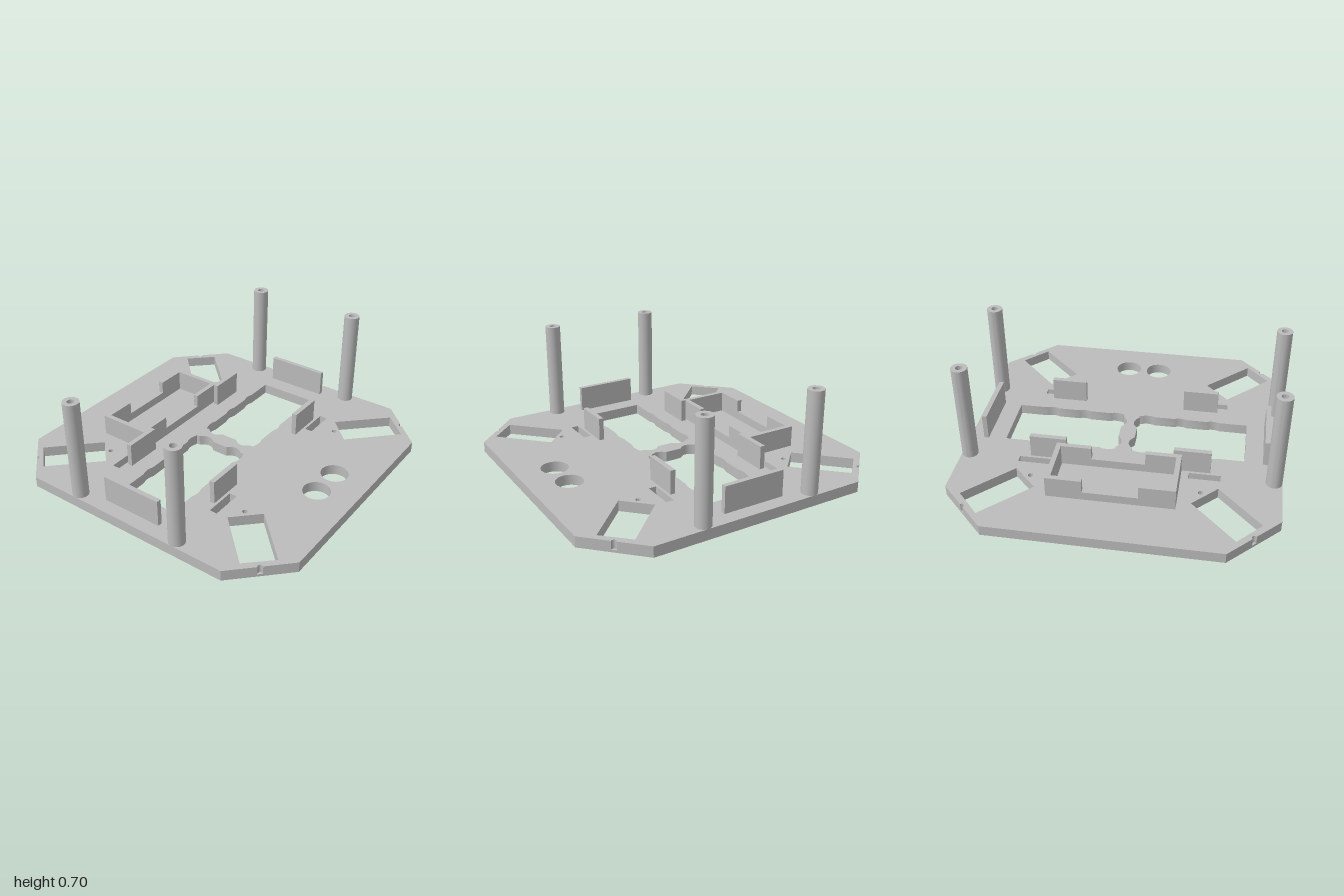
import * as THREE from 'three';
import { toCreasedNormals } from 'three/addons/utils/BufferGeometryUtils.js';

const TOP = 0.067;   // upper face of the deck
const FLOOR = 0.015; // bottom of the blind holes
const SIGNS = [-1, 1];

export function createModel() {
  const group = new THREE.Group();
  const grey = new THREE.MeshStandardMaterial({ color: 0xbcbcbc });
  grey.name = 'grey plastic';

  const add = (name, geometry) => {
    const mesh = new THREE.Mesh(geometry, grey);
    mesh.name = name;
    group.add(mesh);
    return mesh;
  };
  const path = (pts) => new THREE.Path(pts.map(([x, z]) => new THREE.Vector2(x, z)));
  const circle = (x, z, r) => new THREE.Path().absarc(x, z, r, 0, Math.PI * 2);

  // Extrudes a plan outline (x, z) between two heights
  const slab = (name, outline, holes, y0, y1) => {
    const shape = new THREE.Shape(outline.getPoints(16));
    shape.holes = holes;
    const geo = new THREE.ExtrudeGeometry(shape, { depth: y1 - y0, bevelEnabled: false, curveSegments: 16 });
    geo.rotateX(Math.PI / 2).translate(0, y1, 0);
    return add(name, toCreasedNormals(geo, 0.6));
  };
  const block = (name, x0, x1, y0, y1, z0, z1) =>
    add(name, new THREE.BoxGeometry(x1 - x0, y1 - y0, z1 - z0)
      .translate((x0 + x1) / 2, (y0 + y1) / 2, (z0 + z1) / 2));

  // Octagon outline, optionally with a half-round notch in each cut corner
  const octagon = (notched) => {
    const pts = [];
    const q = Math.SQRT1_2, r = 0.016;
    for (let k = 0; k < 4; k++) {
      const corner = [[1, 0.7]];
      for (let i = 0; notched && i <= 8; i++) {
        const t = (i / 8) * Math.PI;
        const along = -Math.cos(t) * r * q, inward = Math.sin(t) * r * q;
        corner.push([0.85 - along - inward, 0.85 + along - inward]);
      }
      corner.push([0.7, 1]);
      const c = [1, 0, -1, 0][k], s = [0, 1, 0, -1][k];
      corner.forEach(([x, z]) => pts.push([c * x - s * z, s * x + c * z]));
    }
    return path(pts);
  };

  // Large central opening with scalloped edges, on side s
  const bayOpening = (s) => {
    const pts = [[0.767, -0.188]];
    const scallop = (cx, cz, half, depth, dx, dz) => {
      for (let i = 0; i <= 8; i++) {
        const u = (i / 4) - 1;
        const d = depth * (1 - u * u);
        // dx, dz: direction of travel; the bulge points to its left in plan
        pts.push([cx + dx * u * half + dz * d, cz + dz * u * half - dx * d]);
      }
    };
    // Back edge runs inwards, inner edge forwards, front edge outwards
    [0.545, 0.327, 0.109].forEach((x) => {
      for (let i = 0; i <= 6; i++) {
        const u = i / 3 - 1;
        pts.push([x - u * 0.045, -0.188 - 0.01 * (1 - u * u)]);
      }
    });
    pts.push([0.053, -0.188]);
    SIGNS.forEach((side) => scallop(0.053, side * 0.109, 0.056, -0.03, 0, 1));
    pts.push([0.053, 0.188]);
    [0.109, 0.327, 0.545].forEach((x) => {
      for (let i = 0; i <= 6; i++) {
        const u = i / 3 - 1;
        pts.push([x + u * 0.045, 0.188 + 0.01 * (1 - u * u)]);
      }
    });
    pts.push([0.767, 0.188]);
    return path(pts.map(([x, z]) => [s * x, z]));
  };

  // Openings that pass right through the deck
  const throughHoles = () => {
    const holes = [];
    for (const sx of SIGNS) {
      holes.push(bayOpening(sx), circle(sx * 0.108, 0.757, 0.086));
      for (const sz of SIGNS) {
        holes.push(path([[0.749, 0.898], [0.893, 0.747], [0.622, 0.471], [0.472, 0.623]]
          .map(([x, z]) => [sx * x, sz * z])));
        holes.push(path([[0.432, 0.352], [0.63, 0.352], [0.63, 0.402], [0.432, 0.402]]
          .map(([x, z]) => [sx * x, sz * z])));
      }
    }
    return holes;
  };

  // Deck: thin bottom layer closes the blind screw holes of the upper layer
  const screwHoles = SIGNS.flatMap((sx) => SIGNS.map((sz) => circle(sx * 0.52, sz * 0.522, 0.016)));
  slab('deckBottom', octagon(false), throughHoles(), 0, FLOOR);
  slab('deckTop', octagon(true), [...throughHoles(), ...screwHoles], FLOOR, TOP);

  for (const sx of SIGNS) {
    // Side walls
    const x = sx * 0.896;
    block('sideWall', x - 0.015, x + 0.015, TOP, 0.235, -0.2, 0.2);
    for (const sz of SIGNS) {
      // Hollow standoff posts
      slab('post', circle(sx * 0.95, sz * 0.366, 0.05), [circle(sx * 0.95, sz * 0.366, 0.022)], TOP, 0.703);
      // Upright tabs beside the slots
      const tx = sx * 0.449, tz = sz * 0.319;
      block('uprightTab', tx - 0.115, tx + 0.115, TOP, 0.218, tz - 0.016, tz + 0.016);
    }
  }

  // Tray: low rim all round, with taller U-shaped ends
  slab('trayRim', path([[-0.387, -0.69], [0.387, -0.69], [0.387, -0.35], [-0.387, -0.35]]),
    [path([[-0.356, -0.659], [0.356, -0.659], [0.356, -0.381], [-0.356, -0.381]])], TOP, 0.122);
  for (const s of SIGNS) {
    slab('trayEnd', path([[0.167, -0.69], [0.387, -0.69], [0.387, -0.35], [0.167, -0.35],
      [0.167, -0.381], [0.356, -0.381], [0.356, -0.659], [0.167, -0.659]]
      .map(([x, z]) => [s * x, z])), [], 0.122, 0.203);
  }
  return group;
}
